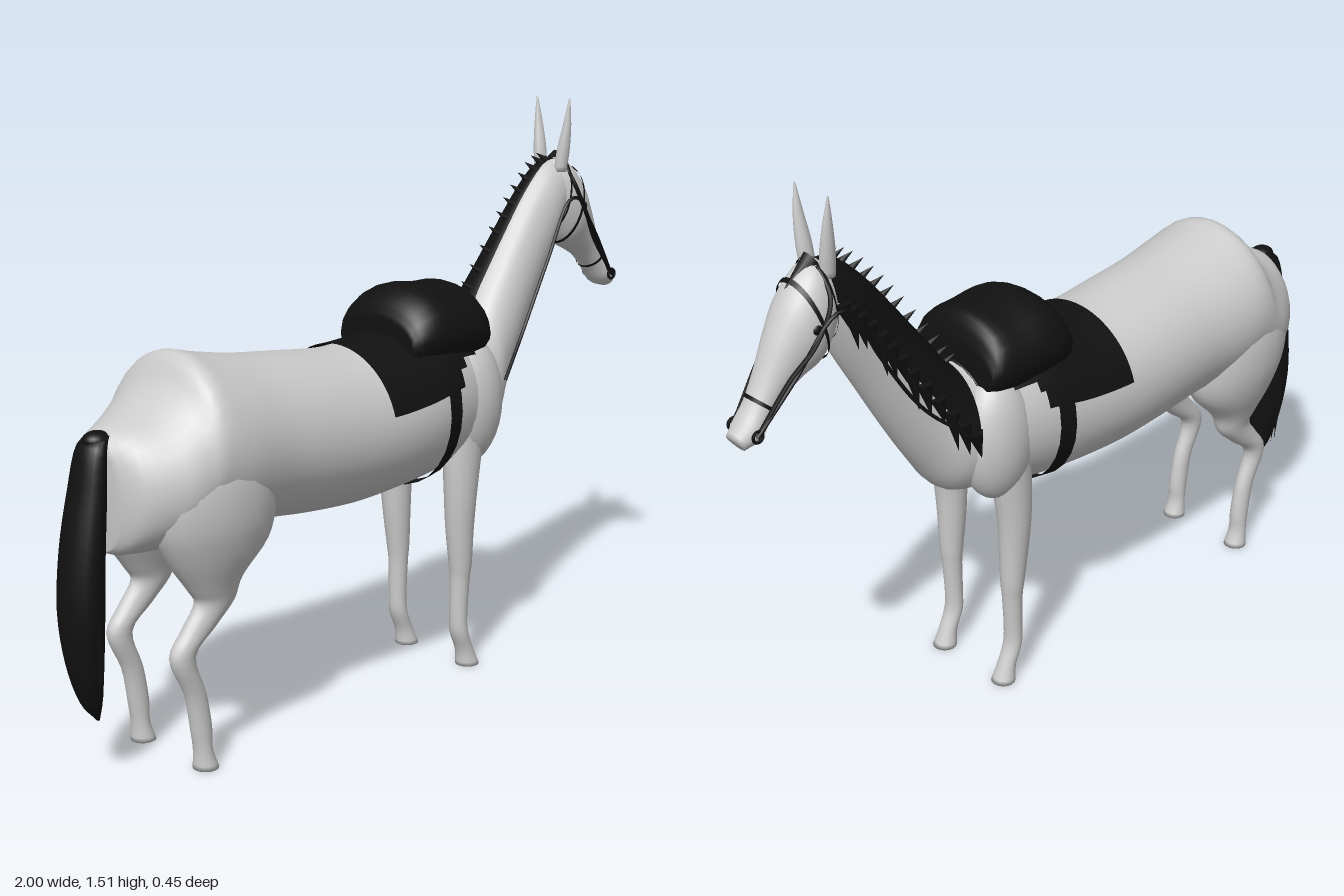
import * as THREE from 'three';

const coat = new THREE.MeshStandardMaterial({ color: 0xcccccc });
const black = new THREE.MeshStandardMaterial({ color: 0x111111 });
const cloth = new THREE.MeshStandardMaterial({ color: 0x111111, side: THREE.DoubleSide });
const V = (x, y, z) => new THREE.Vector3(x, y, z);

// Cross-sections: [topX, topY, bottomX, bottomY, halfWidth, centreZ]
function sections(rows) {
  const top = new THREE.CatmullRomCurve3(rows.map(r => V(r[0], r[1], r[4])), false, 'catmullrom', 0.5);
  const low = new THREE.CatmullRomCurve3(rows.map(r => V(r[2], r[3], r[5] || 0)), false, 'catmullrom', 0.5);
  const point = (t, a, s = 1) => {
    const p = top.getPoint(t), q = low.getPoint(t), c = Math.cos(a) * s;
    return V((p.x + q.x) / 2 + (p.x - q.x) / 2 * c, (p.y + q.y) / 2 + (p.y - q.y) / 2 * c, q.z + p.z * Math.sin(a) * s);
  };
  // Section parameter at a given x
  const at = x => {
    let lo = 0, hi = 1;
    for (let i = 0; i < 30; i++) {
      const m = (lo + hi) / 2;
      if (point(m, 0, 0).x < x) lo = m; else hi = m;
    }
    return lo;
  };
  return { point, at, n: rows.length };
}

function gridGeometry(points, rows, cols, closed) {
  const index = [], w = closed ? cols : cols + 1;
  for (let i = 0; i < rows; i++) for (let j = 0; j < cols; j++) {
    const a = i * w + j, b = i * w + (j + 1) % w;
    index.push(a, b, a + w, b, b + w, a + w);
  }
  const g = new THREE.BufferGeometry().setFromPoints(points);
  g.setIndex(index);
  g.computeVertexNormals();
  return g;
}

// Closed smooth body through the sections, with capped ends
function loft(sec, seg = 24) {
  const steps = (sec.n - 1) * 4, pts = [];
  for (let i = -1; i <= steps + 1; i++) {
    const t = Math.min(1, Math.max(0, i / steps)), s = i < 0 || i > steps ? 0 : 1;
    for (let j = 0; j < seg; j++) pts.push(sec.point(t, j / seg * Math.PI * 2, s));
  }
  return gridGeometry(pts, steps + 2, seg, true);
}

// Thin covering that lies just outside part of a lofted body
function shell(sec, t0, t1, a0, a1, scale) {
  const n = 16, m = 28, pts = [];
  for (let i = 0; i <= n; i++) for (let j = 0; j <= m; j++)
    pts.push(sec.point(t0 + (t1 - t0) * i / n, a0 + (a1 - a0) * j / m, scale));
  return gridGeometry(pts, n, m, false);
}

const tube = (pts, r, closed = false) =>
  new THREE.TubeGeometry(new THREE.CatmullRomCurve3(pts, closed), 48, r, 6, closed);

export function createModel() {
  const horse = new THREE.Group();
  const add = (name, geo, mat = coat) => {
    const m = new THREE.Mesh(geo, mat);
    m.name = name;
    horse.add(m);
    return m;
  };
  const ball = (name, p, r, mat) => {
    const m = add(name, new THREE.SphereGeometry(1, 24, 16), mat);
    m.position.copy(p);
    m.scale.set(...r);
    return m;
  };
  // Tapered lock of hair from one point to another
  const lock = (name, from, to, r) => {
    const d = to.clone().sub(from);
    const m = add(name, new THREE.ConeGeometry(r, d.length(), 6), black);
    m.position.copy(from).addScaledVector(d, 0.5);
    m.quaternion.setFromUnitVectors(V(0, 1, 0), d.normalize());
  };

  // Trunk
  const body = sections([
    [-0.89, 0.84, -0.88, 0.57, 0.07], [-0.85, 0.865, -0.85, 0.556, 0.14], [-0.77, 0.895, -0.77, 0.553, 0.195],
    [-0.71, 0.945, -0.71, 0.553, 0.212], [-0.66, 1.012, -0.66, 0.555, 0.22], [-0.58, 0.998, -0.58, 0.558, 0.222],
    [-0.45, 0.973, -0.45, 0.555, 0.212], [-0.3, 0.955, -0.3, 0.538, 0.212], [-0.13, 0.937, -0.13, 0.528, 0.212],
    [0.03, 0.945, 0.03, 0.535, 0.207], [0.16, 0.965, 0.16, 0.547, 0.192], [0.28, 0.95, 0.28, 0.57, 0.165],
    [0.36, 0.9, 0.36, 0.6, 0.12]]);
  add('trunk', loft(body, 32));

  // Neck and head
  const neck = sections([
    [0.25, 0.95, 0.27, 0.575, 0.15], [0.35, 0.935, 0.385, 0.6, 0.14], [0.42, 1.02, 0.465, 0.7, 0.105],
    [0.52, 1.15, 0.55, 0.835, 0.083], [0.6, 1.25, 0.625, 0.965, 0.073], [0.68, 1.325, 0.69, 1.08, 0.068],
    [0.74, 1.34, 0.725, 1.16, 0.06]]);
  add('neck', loft(neck));
  const head = sections([
    [0.69, 1.325, 0.7, 1.18, 0.045], [0.755, 1.345, 0.72, 1.145, 0.068], [0.82, 1.29, 0.755, 1.1, 0.075],
    [0.87, 1.21, 0.8, 1.078, 0.06], [0.91, 1.125, 0.85, 1.05, 0.046], [0.945, 1.06, 0.89, 1.012, 0.04],
    [0.975, 1.02, 0.93, 0.965, 0.042], [1.0, 0.99, 0.975, 0.95, 0.03]]);
  add('head', loft(head));

  for (const s of [1, -1]) {
    const side = s > 0 ? 'right' : 'left';
    // Legs
    const frontLeg = sections([
      [0.32, 0.78, 0.19, 0.78, 0.05, 0.115], [0.3, 0.62, 0.18, 0.62, 0.046, 0.118], [0.28, 0.5, 0.184, 0.5, 0.042, 0.12],
      [0.273, 0.4, 0.192, 0.4, 0.037, 0.118], [0.27, 0.3, 0.205, 0.3, 0.031, 0.117], [0.265, 0.25, 0.21, 0.25, 0.027, 0.116],
      [0.259, 0.15, 0.21, 0.15, 0.025, 0.115], [0.262, 0.1, 0.214, 0.1, 0.027, 0.115], [0.283, 0.05, 0.235, 0.045, 0.026, 0.115],
      [0.305, 0, 0.24, 0, 0.033, 0.115]].map(r => [...r.slice(0, 5), r[5] * s]));
    add(side + 'FrontLeg', loft(frontLeg, 16));
    const hindLeg = sections([
      [-0.55, 0.88, -0.74, 0.86, 0.07, 0.1], [-0.48, 0.76, -0.815, 0.74, 0.1, 0.115], [-0.46, 0.65, -0.815, 0.63, 0.105, 0.117],
      [-0.48, 0.56, -0.775, 0.54, 0.085, 0.118], [-0.56, 0.475, -0.72, 0.46, 0.05, 0.12], [-0.585, 0.415, -0.7, 0.42, 0.035, 0.12],
      [-0.645, 0.36, -0.74, 0.365, 0.03, 0.12], [-0.71, 0.3, -0.78, 0.3, 0.027, 0.12], [-0.68, 0.2, -0.738, 0.2, 0.024, 0.12],
      [-0.665, 0.11, -0.72, 0.1, 0.025, 0.12], [-0.665, 0.05, -0.712, 0.05, 0.026, 0.12],
      [-0.648, 0, -0.712, 0, 0.033, 0.12]].map(r => [...r.slice(0, 5), r[5] * s]));
    add(side + 'HindLeg', loft(hindLeg, 20));
    ball(side + 'Shoulder', V(0.275, 0.745, 0.1 * s), [0.108, 0.175, 0.085]);

    // Ears and eyes
    const ear = sections([
      [0.745, 1.31, 0.705, 1.31, 0.017, 0.035 * s], [0.748, 1.37, 0.708, 1.37, 0.017, 0.042 * s],
      [0.744, 1.44, 0.718, 1.44, 0.011, 0.051 * s], [0.733, 1.512, 0.729, 1.512, 0.002, 0.058 * s]]);
    const earGeo = loft(ear, 12);
    earGeo.setIndex([...earGeo.index.array].reverse());
    earGeo.computeVertexNormals();
    add(side + 'Ear', earGeo);
    ball(side + 'Eye', V(0.79, 1.21, 0.068 * s), [0.014, 0.014, 0.01], black);

    // Reins, cheek straps and bit rings
    add(side + 'Rein', tube([V(0.96, 0.99, 0.047 * s), V(0.85, 1.11, 0.062 * s), V(0.755, 1.235, 0.084 * s),
      V(0.71, 1.235, 0.084 * s), V(0.62, 1.08, 0.085 * s), V(0.5, 0.9, 0.102 * s), V(0.37, 0.79, 0.152 * s)], 0.005), black);
    add(side + 'CheekStrap', tube([V(0.745, 1.34, 0.025 * s), V(0.75, 1.27, 0.072 * s), V(0.8, 1.18, 0.077 * s),
      V(0.87, 1.105, 0.06 * s), V(0.95, 1.0, 0.045 * s)], 0.006), black);
    const ring = add(side + 'BitRing', new THREE.TorusGeometry(0.014, 0.004, 6, 16), black);
    ring.position.set(0.957, 0.992, 0.046 * s);
    // Saddle flap
    add(side + 'SaddleFlap', shell(body, body.at(0.05), body.at(0.19), 0.3 * s, 1.08 * s, 1.07), cloth);
  }

  // Bridle bands around the head
  for (const [name, t] of [['browBand', 0.24], ['noseBand', 0.68]])
    add(name, shell(head, t, t + 0.02, 0, Math.PI * 2, 1.06), cloth);
  add('throatStrap', shell(head, 0.12, 0.135, 0, Math.PI * 2, 1.07), cloth);

  // Saddle cloth, girth and saddle
  add('saddleCloth', shell(body, body.at(-0.115), body.at(0.17), -1.3, 1.3, 1.035), cloth);
  add('saddleClothFront', shell(body, body.at(0.17), body.at(0.325), -0.95, 0.95, 1.06), cloth);
  add('girth', shell(body, body.at(0.095), body.at(0.145), 0, Math.PI * 2, 1.045), cloth);
  const saddle = sections([
    [0.03, 0.995, 0.03, 0.86, 0.13], [0.06, 1.04, 0.06, 0.84, 0.155], [0.12, 1.07, 0.12, 0.83, 0.17],
    [0.21, 1.062, 0.21, 0.83, 0.17], [0.29, 1.055, 0.29, 0.83, 0.16], [0.32, 0.99, 0.325, 0.86, 0.14]]);
  add('saddle', loft(saddle), black);

  // Mane, lying over one side of the neck with loose locks
  add('mane', shell(neck, 0.17, 0.97, 0.15, -1.45, 1.07), cloth);
  for (let i = 0; i < 13; i++) {
    const t = 0.2 + i * 0.06;
    const crest = neck.point(t, -0.1, 1.03), edge = neck.point(t, -1.4, 1.06);
    lock('crestLock', crest, crest.clone().add(V(-0.03, 0.022, -0.012)), 0.01);
    lock('maneLock', edge, edge.clone().add(V(-0.01, -0.07 - 0.02 * (i % 3), -0.012)), 0.022);
  }
  lock('forelock', V(0.74, 1.345, 0), V(0.82, 1.295, 0.005), 0.025);

  // Tail
  const tail = sections([
    [-0.85, 0.86, -0.87, 0.85, 0.02], [-0.87, 0.83, -0.925, 0.83, 0.045], [-0.88, 0.72, -0.955, 0.72, 0.058],
    [-0.89, 0.58, -0.985, 0.58, 0.065], [-0.895, 0.44, -0.998, 0.44, 0.064], [-0.898, 0.31, -0.985, 0.31, 0.05],
    [-0.9, 0.21, -0.955, 0.21, 0.028], [-0.905, 0.155, -0.912, 0.155, 0.004]]);
  add('tail', loft(tail, 20), black);
  ball('tailDock', V(-0.885, 0.84, 0), [0.035, 0.022, 0.032], black);
  for (const s of [1, -1]) for (let i = 0; i < 4; i++)
    lock('tailLock', V(-0.94, 0.42 - i * 0.03, (0.055 - i * 0.007) * s), V(-0.93, 0.23 - i * 0.015, (0.052 - i * 0.012) * s), 0.012);
  return horse;
}
